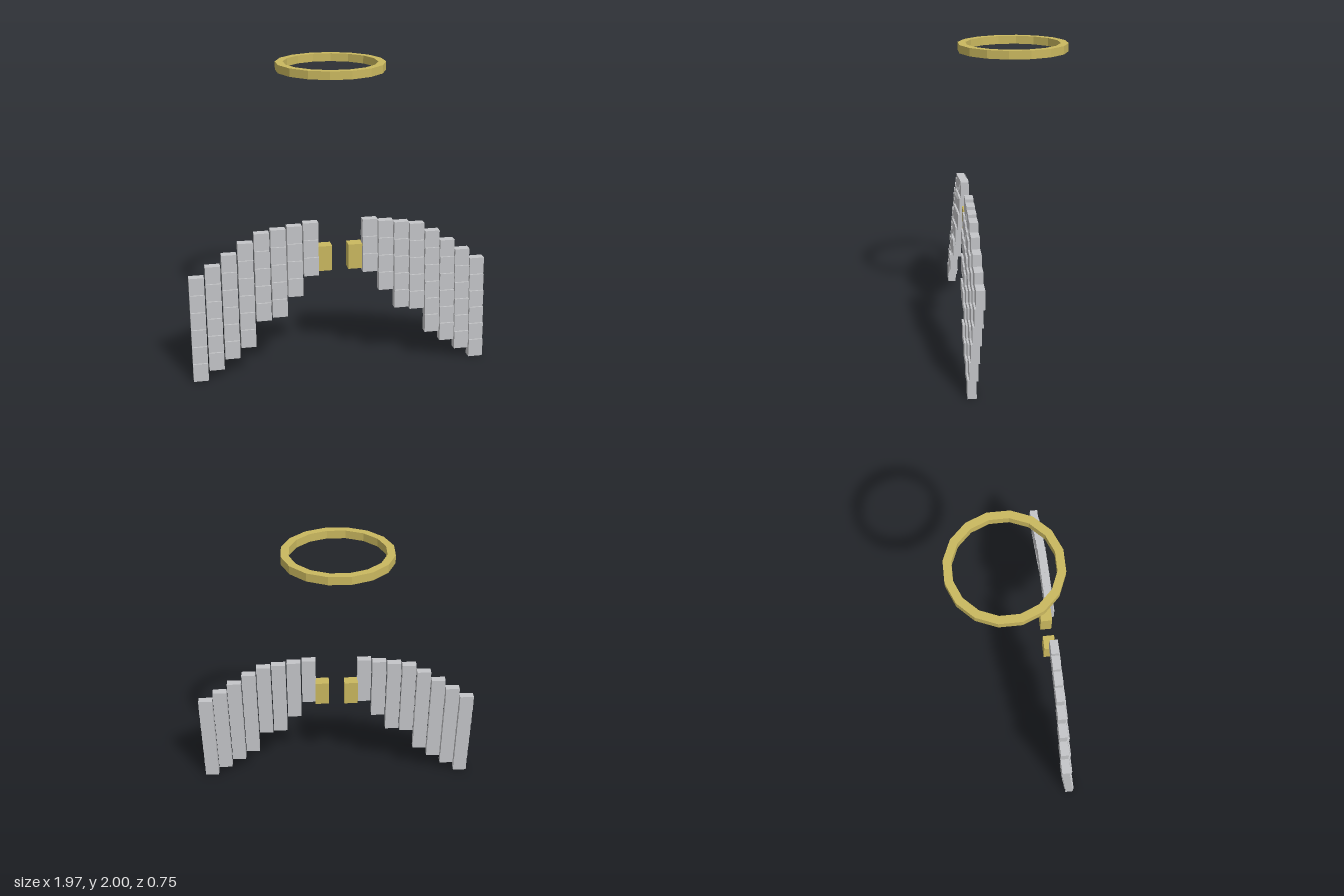
import * as THREE from 'three';

export function createModel() {
  const model = new THREE.Group();
  model.name = 'haloAndWings';

  const gold = new THREE.MeshStandardMaterial({ color: 0xcab85f });
  gold.name = 'gold';
  const grey = new THREE.MeshStandardMaterial({ color: 0xc4c5c8 });
  grey.name = 'featherGrey';

  // Halo: a flat sixteen-sided ring with square edges
  const polygon = (PathClass, apothem) => {
    const sides = 16, r = apothem / Math.cos(Math.PI / sides);
    const points = [];
    for (let i = 0; i < sides; i++) {
      const a = ((i + 0.5) / sides) * Math.PI * 2;
      points.push(new THREE.Vector2(Math.cos(a) * r, Math.sin(a) * r));
    }
    return new PathClass(points);
  };
  const ring = polygon(THREE.Shape, 0.352);
  ring.holes.push(polygon(THREE.Path, 0.302));
  const haloGeometry = new THREE.ExtrudeGeometry(ring, { depth: 0.053, bevelEnabled: false });
  haloGeometry.rotateX(-Math.PI / 2);
  const halo = new THREE.Mesh(haloGeometry, gold);
  halo.name = 'halo';
  halo.position.set(0, 1.947, -0.023);
  model.add(halo);

  // Wings: columns of overlapping feathers, each one stepping down and forward
  const featherHeight = 0.124, drop = 0.1156, forward = 0.0115;
  const featherGeometry = new THREE.BoxGeometry(0.098, featherHeight, 0.055);
  const jointGeometry = new THREE.BoxGeometry(0.096, 0.17, 0.078);
  const columns = [ // top height and feather count, from the joint outwards
    [1.027, 3], [1.01, 4], [0.994, 5], [0.976, 5],
    [0.917, 6], [0.845, 6], [0.773, 6], [0.702, 6],
  ];
  for (const [side, label] of [[1, 'left'], [-1, 'right']]) {
    const wing = new THREE.Group();
    wing.name = label + 'Wing';
    columns.forEach(([top, count], c) => {
      for (let f = 0; f < count; f++) {
        const feather = new THREE.Mesh(featherGeometry, grey);
        feather.name = 'feather';
        feather.position.set(
          side * (0.195 + c * 0.106),
          top - featherHeight / 2 - f * drop,
          0.29 + f * forward,
        );
        wing.add(feather);
      }
    });

    // Block that joins the wing to the back
    const joint = new THREE.Mesh(jointGeometry, gold);
    joint.name = 'wingJoint';
    joint.position.set(side * 0.102, 0.774, 0.272);
    wing.add(joint);
    model.add(wing);
  }
  return model;
}
